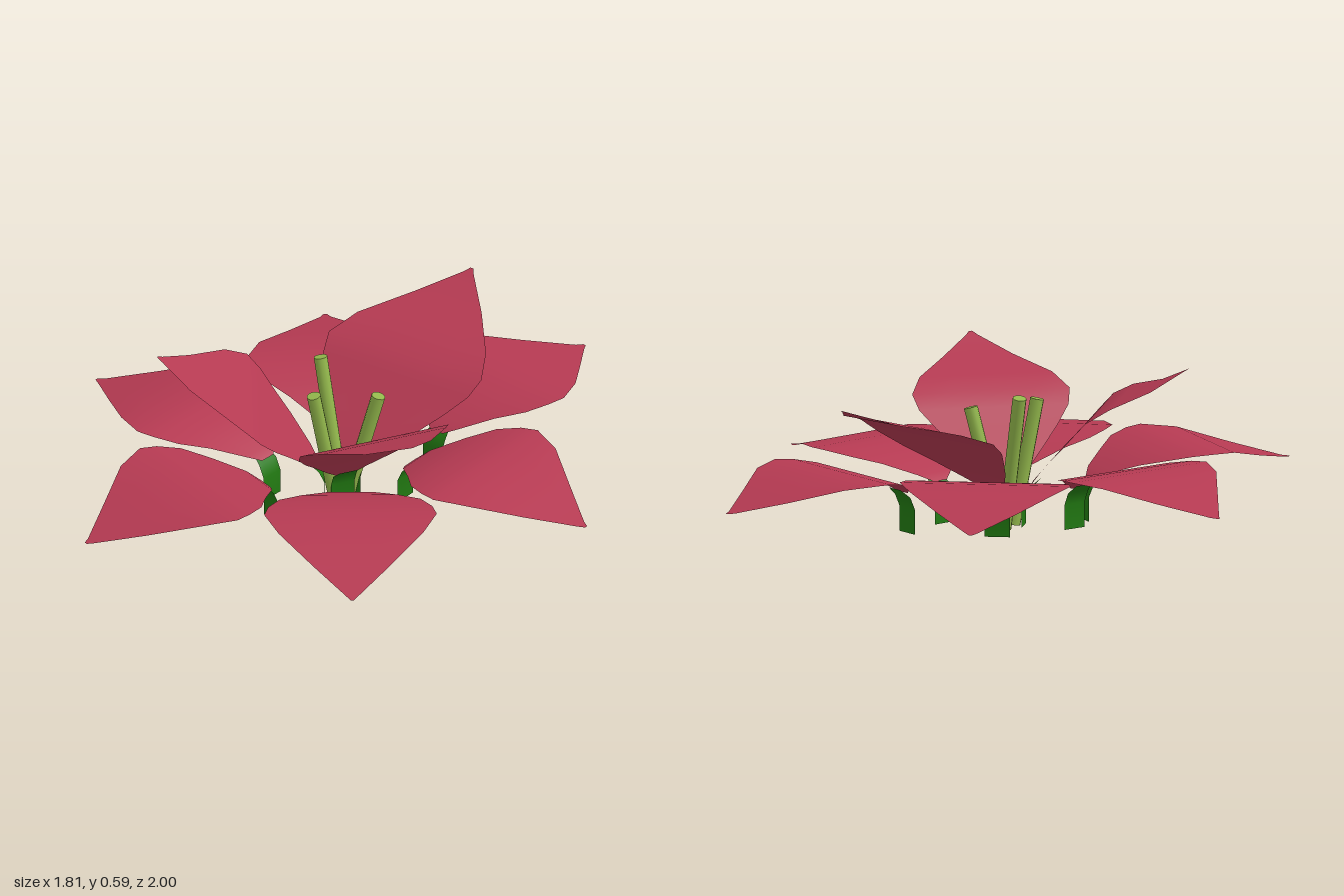
import * as THREE from 'three';

const material = (name, color) => {
  const m = new THREE.MeshStandardMaterial({ color, side: THREE.DoubleSide });
  m.name = name;
  return m;
};

// Cross-sections from base to tip: [distance along leaf, height, half width]
const OUTER = [
  [0, 0.15, 0.03], [0.04, 0.175, 0.08], [0.155, 0.215, 0.17], [0.25, 0.24, 0.25], [0.35, 0.255, 0.29],
  [0.43, 0.26, 0.305], [0.58, 0.25, 0.255], [0.78, 0.205, 0.135], [0.97, 0.167, 0.02], [1, 0.165, 0.006],
];
const INNER = [
  [0, 0.14, 0.03], [0.05, 0.18, 0.08], [0.17, 0.26, 0.16], [0.27, 0.32, 0.22], [0.36, 0.38, 0.27],
  [0.44, 0.43, 0.285], [0.58, 0.475, 0.24], [0.8, 0.52, 0.125], [0.97, 0.575, 0.02], [1, 0.585, 0.006],
];
const STEM = [[-0.02, 0, 0.045], [-0.02, 0.09, 0.045], [0, 0.135, 0.045], [0.035, 0.165, 0.035]];

// Thin sheet through the cross-sections, running along +z
function sheet(rows, length = 1, height = 1, width = 1) {
  const pos = [], index = [], cols = 4;
  rows.forEach(([s, y, hw], i) => {
    for (let j = 0; j <= cols; j++) {
      pos.push(hw * width * (j / cols * 2 - 1), y * height, s * length);
      if (i < rows.length - 1 && j < cols) {
        const a = i * (cols + 1) + j, c = a + cols + 1;
        index.push(a, c, a + 1, a + 1, c, c + 1);
      }
    }
  });
  const g = new THREE.BufferGeometry();
  g.setAttribute('position', new THREE.Float32BufferAttribute(pos, 3));
  g.setIndex(index);
  g.computeVertexNormals();
  return g;
}

export function createModel() {
  const model = new THREE.Group();
  model.name = 'flower';
  const red = material('petal red', 0xb53a52);
  const green = material('stem green', 0x227a12);
  const olive = material('stamen green', 0x93b84c);

  const add = (parent, name, geometry, mat) => {
    const mesh = new THREE.Mesh(geometry, mat);
    mesh.name = name;
    parent.add(mesh);
    return mesh;
  };

  // Petal with its short stem, laid from base to tip (x, z)
  function petal(name, rows, [bx, bz], [tx, tz], height = 1, width = 1) {
    const g = new THREE.Group();
    g.name = name;
    add(g, 'blade', sheet(rows, Math.hypot(tx - bx, tz - bz), height, width), red);
    add(g, 'stem', sheet(STEM), green);
    g.position.set(bx, 0, bz);
    g.rotation.y = Math.atan2(tx - bx, tz - bz);
    model.add(g);
  }

  // Six spread outer petals
  [
    [[0.04, 0.23], [0.03, 1.0]],
    [[0.26, 0.02], [0.87, 0.51]],
    [[0.36, -0.2], [0.9, -0.76]],
    [[0.02, -0.23], [-0.01, -1.0]],
    [[-0.24, -0.03], [-0.83, -0.57]],
    [[-0.25, 0.155], [-0.9, 0.575]],
  ].forEach(([base, tip], i) => petal('outerPetal' + (i + 1), OUTER, base, tip));

  // Three raised inner petals
  petal('innerPetalRight', INNER, [-0.06, 0.01], [-0.63, 0]);
  petal('innerPetalFront', INNER, [0.03, 0.07], [0.25, 0.63], 0.97);
  petal('innerPetalBack', INNER, [0.06, -0.03], [0.5, -0.68], 0.91, 1.12);

  // Leaning stamens
  const up = new THREE.Vector3(0, 1, 0);
  [
    [[0.02, 0, -0.05], [-0.05, 0.49, -0.15]],
    [[0.04, 0, -0.01], [0.15, 0.42, 0.01]],
    [[0, 0, 0.025], [-0.08, 0.45, 0.055]],
  ].forEach(([from, to], i) => {
    const a = new THREE.Vector3(...from), b = new THREE.Vector3(...to);
    const dir = b.clone().sub(a);
    const mesh = add(model, 'stamen' + (i + 1), new THREE.CylinderGeometry(0.025, 0.025, dir.length(), 10), olive);
    mesh.position.copy(a).add(b).multiplyScalar(0.5);
    mesh.quaternion.setFromUnitVectors(up, dir.normalize());
  });
  return model;
}
